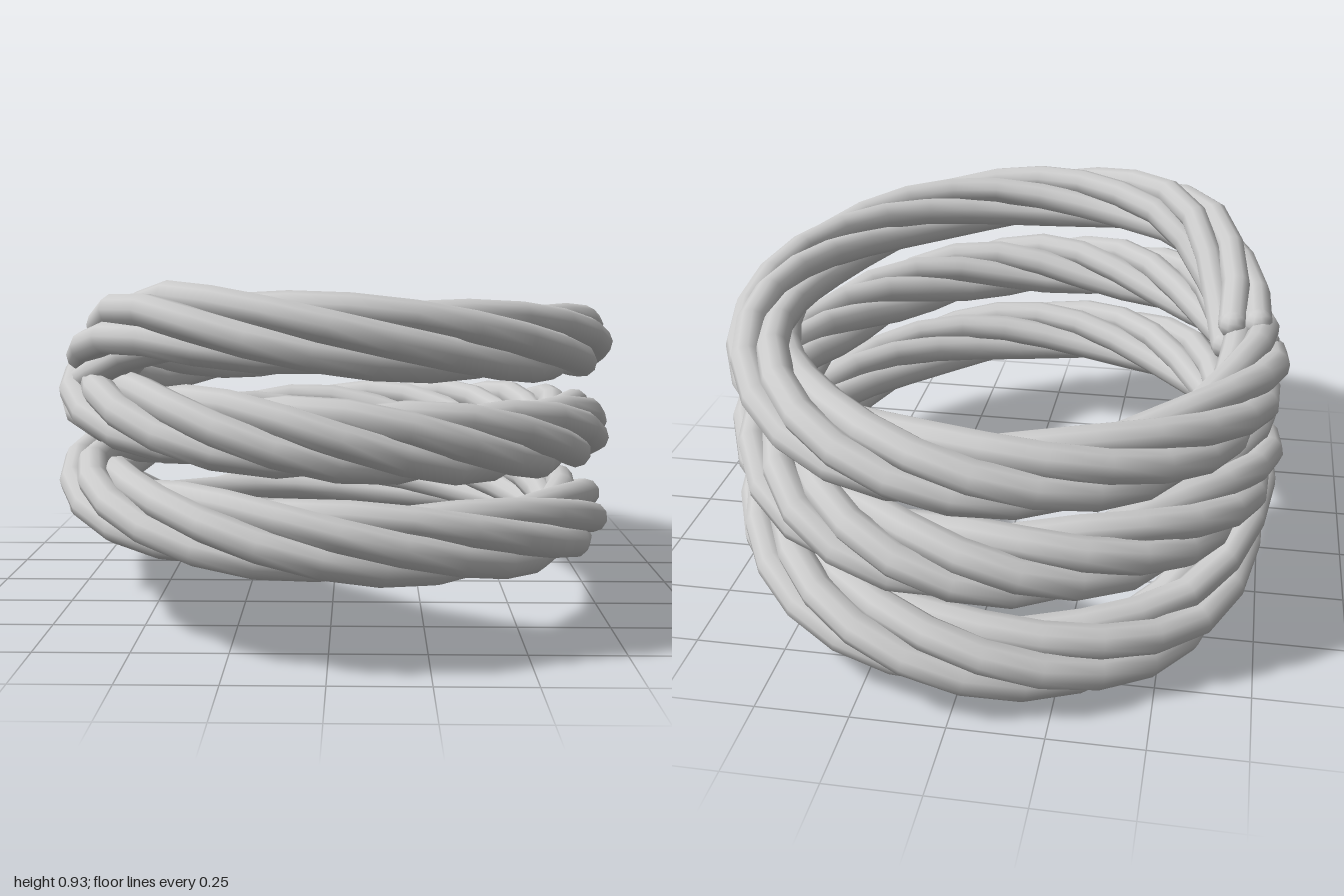
import * as THREE from 'three';

const STRANDS = 5;
const CORE = 0.077;         // distance of each strand from the rope's axis
const STRAND_R = 0.053;
const START = -Math.PI - 0.14;
const END = 5 * Math.PI - 0.14;
const SCALE = new THREE.Vector3(0.805, 0.8, 1);  // oval coil, slightly flattened rope
const { smoothstep } = THREE.MathUtils;

// Axis of the coiled rope: a rising helix whose two ends bend into the neighbouring coil
function axis(phi) {
  const dip = smoothstep(phi, 4.5 * Math.PI + 0.6, END + 0.08);
  const lift = 1 - smoothstep(phi, START, -Math.PI + 0.75);
  const sag = Math.exp(-(((phi + 2.2) / 0.7) ** 2));
  const y = 0.236 + 0.0395 * phi + 0.012 * Math.sin(phi) - 0.22 * dip + 0.175 * lift - 0.04 * sag;
  const r = 0.87 - 0.03 * dip - 0.02 * lift;
  return new THREE.Vector3(r * Math.cos(phi), y / SCALE.y, r * Math.sin(phi));
}

// One strand winding around the axis, twisted tighter in the middle coil
function strandCurve(index) {
  const points = [];
  const steps = 90;
  for (let i = 0; i <= steps; i++) {
    const phi = START + ((END - START) * i) / steps;
    const tangent = axis(phi + 0.01).sub(axis(phi - 0.01)).normalize();
    const out = new THREE.Vector3(Math.cos(phi), 0, Math.sin(phi));
    out.addScaledVector(tangent, -out.dot(tangent)).normalize();
    const up = new THREE.Vector3().crossVectors(out, tangent).negate();
    const u = phi - 2 * Math.PI;
    const theta = 2.1 * u + 5.5 * Math.tanh(u / 4) + (index * 2 * Math.PI) / STRANDS;
    points.push(axis(phi)
      .addScaledVector(out, CORE * Math.cos(theta))
      .addScaledVector(up, CORE * Math.sin(theta)));
  }
  return new THREE.CatmullRomCurve3(points);
}

export function createModel() {
  const group = new THREE.Group();
  group.name = 'coiledRope';
  const material = new THREE.MeshStandardMaterial({ color: 0xcccccc });

  for (let i = 0; i < STRANDS; i++) {
    const curve = strandCurve(i);
    const strand = new THREE.Group();
    strand.name = `strand${i + 1}`;

    const tube = new THREE.TubeGeometry(curve, 90, STRAND_R, 10, false);
    tube.scale(SCALE.x, SCALE.y, SCALE.z);
    const body = new THREE.Mesh(tube, material);
    body.name = 'strandBody';
    strand.add(body);

    // Rounded strand ends
    for (const t of [0, 1]) {
      const p = curve.getPointAt(t);
      const ball = new THREE.SphereGeometry(STRAND_R, 10, 8);
      ball.translate(p.x, p.y, p.z).scale(SCALE.x, SCALE.y, SCALE.z);
      const cap = new THREE.Mesh(ball, material);
      cap.name = t ? 'topStrandEnd' : 'bottomStrandEnd';
      strand.add(cap);
    }
    group.add(strand);
  }

  // Rest the lowest strand on the ground
  group.position.y = -new THREE.Box3().setFromObject(group, true).min.y;
  return group;
}
